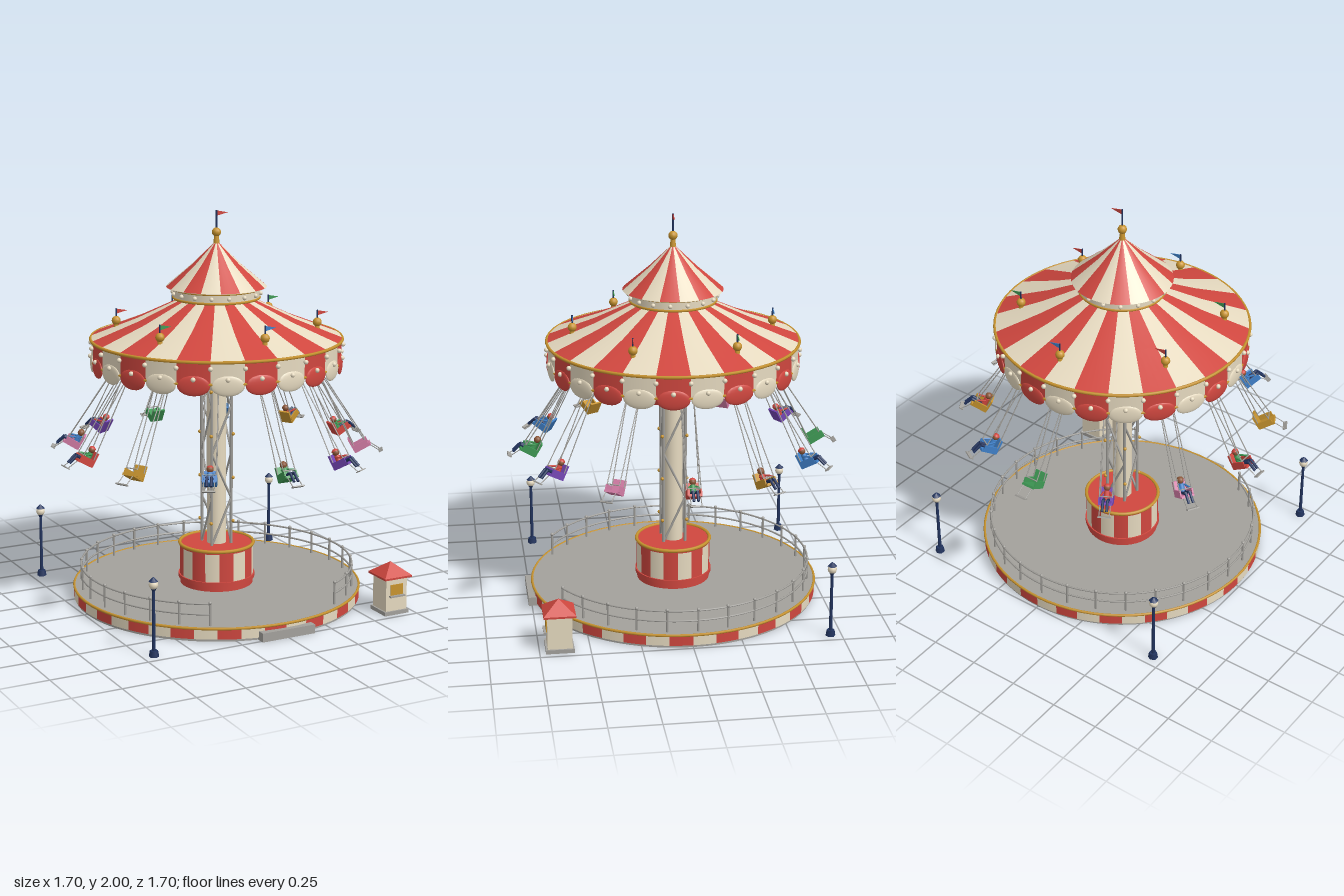
import * as THREE from 'three';
import { mergeGeometries } from 'three/addons/utils/BufferGeometryUtils.js';

const TAU = Math.PI * 2;

export function createModel() {
  const mat = (name, color, side = THREE.FrontSide) => {
    const m = new THREE.MeshStandardMaterial({ color, side });
    m.name = name;
    return m;
  };
  const red = mat('red', 0xd0473f), cream = mat('cream', 0xe6dac0), gold = mat('gold', 0xc8942f);
  const grey = mat('grey', 0xa3a19c), navy = mat('navy', 0x22345f), blue = mat('blue', 0x3f80c8);
  const green = mat('green', 0x3f9a55), purple = mat('purple', 0x7446b4), pink = mat('pink', 0xd77fa9);
  const brown = mat('brown', 0x8a5536);
  const root = new THREE.Group();

  const add = (parent, name, geo, material, x = 0, y = 0, z = 0) => {
    const m = new THREE.Mesh(geo, material);
    m.name = name;
    m.position.set(x, y, z);
    parent.add(m);
    return m;
  };
  const group = (parent, name) => {
    const g = new THREE.Group();
    g.name = name;
    parent.add(g);
    return g;
  };
  const cyl = (rt, rb, h, n = 12) => new THREE.CylinderGeometry(rt, rb, h, n);
  const box = (w, h, d) => new THREE.BoxGeometry(w, h, d);
  const ball = (r) => new THREE.SphereGeometry(r, 12, 8);
  const ring = (parent, name, r, y, t, material) =>
    add(parent, name, new THREE.TorusGeometry(r, t, 6, 72).rotateX(Math.PI / 2), material, 0, y);
  const v = (x, y, z) => new THREE.Vector3(x, y, z);
  // Round bar between two points
  const bar = (a, b, r, n = 6) => {
    const d = b.clone().sub(a);
    const q = new THREE.Quaternion().setFromUnitVectors(v(0, 1, 0), d.clone().normalize());
    const mid = a.clone().add(b).multiplyScalar(0.5);
    return cyl(r, r, d.length(), n).applyQuaternion(q).translate(mid.x, mid.y, mid.z);
  };
  // Point on a circle; angle 0 faces the front
  const polar = (r, a, y) => v(r * Math.sin(a), y, r * Math.cos(a));
  // Revolved profile (bottom to top) split into alternating cream and red panels
  const striped = (parent, name, profile, count) => {
    const pts = profile.map(([r, y]) => new THREE.Vector2(r, y));
    const sets = [[], []];
    for (let i = 0; i < count; i++)
      sets[i % 2].push(new THREE.LatheGeometry(pts, 4, (i / count) * TAU, TAU / count));
    add(parent, name + 'CreamPanels', mergeGeometries(sets[0]), cream);
    add(parent, name + 'RedPanels', mergeGeometries(sets[1]), red);
  };
  // Ring of small bulbs
  const bulbs = (parent, name, count, r, y, size, offset, material) => {
    const list = [];
    for (let i = 0; i < count; i++) {
      const p = polar(r, ((i + offset) / count) * TAU, y);
      list.push(ball(size).translate(p.x, p.y, p.z));
    }
    add(parent, name, mergeGeometries(list), material);
  };

  // Platform
  const platform = group(root, 'platform');
  add(platform, 'platformBase', cyl(0.735, 0.735, 0.068, 72), grey, 0, 0.034);
  striped(platform, 'platformSide', [[0.74, 0.012], [0.74, 0.062]], 40);
  ring(platform, 'platformTrim', 0.737, 0.065, 0.007, gold);
  add(platform, 'step', box(0.292, 0.045, 0.08), grey, 0, 0.0225, 0.727);

  // Railing, open at the front
  const railing = group(root, 'railing');
  const open = Math.PI / 6, posts = 24, span = TAU - 2 * open, rails = [];
  for (let i = 0; i <= posts; i++) {
    const a = open + (i / posts) * span;
    rails.push(bar(polar(0.7, a, 0.065), polar(0.7, a, 0.182), 0.006));
    const p = polar(0.7, a, 0.184);
    rails.push(ball(0.009).translate(p.x, p.y, p.z));
  }
  for (const y of [0.125, 0.178]) {
    const path = new THREE.CatmullRomCurve3(
      Array.from({ length: 49 }, (_, i) => polar(0.7, open + (i / 48) * span, y)));
    rails.push(new THREE.TubeGeometry(path, 96, 0.005, 6));
  }
  add(railing, 'rails', mergeGeometries(rails), grey);

  // Drum at the foot of the column
  const drum = group(root, 'drum');
  add(drum, 'drumCore', cyl(0.188, 0.188, 0.215, 48), red, 0, 0.1725);
  striped(drum, 'drumSide', [[0.19, 0.115], [0.19, 0.265]], 16);
  add(drum, 'drumFoot', cyl(0.197, 0.197, 0.02, 48), red, 0, 0.108);
  ring(drum, 'drumTrim', 0.19, 0.28, 0.009, gold);

  // Column with lattice frame
  const column = group(root, 'column');
  add(column, 'columnCore', cyl(0.05, 0.05, 1.0, 24), cream, 0, 0.77);
  const lattice = [], lamps = [], s = 0.056, y0 = 0.28, seg = 0.2425;
  for (let f = 0; f < 4; f++) {
    const turn = (f * Math.PI) / 2;
    lattice.push(bar(v(s, y0, s), v(s, 1.25, s), 0.008).rotateY(turn));
    for (let k = 0; k < 4; k++) {
      const d = k % 2 ? s : -s;
      lattice.push(bar(v(d, y0 + k * seg, s), v(-d, y0 + (k + 1) * seg, s), 0.006).rotateY(turn));
      lamps.push(ball(0.009).translate(s + 0.007, 0.4 + k * 0.23, s + 0.007).rotateY(turn));
    }
  }
  add(column, 'lattice', mergeGeometries(lattice), grey);
  add(column, 'columnBulbs', mergeGeometries(lamps), gold);

  // Main canopy with valance and scallops
  const canopy = group(root, 'canopy');
  striped(canopy, 'roof', [[0.642, 1.357], [0.4, 1.452], [0.16, 1.565]], 24);
  striped(canopy, 'valance', [[0.63, 1.245], [0.63, 1.357]], 24);
  add(canopy, 'ceiling', cyl(0.628, 0.628, 0.02, 72), cream, 0, 1.262);
  ring(canopy, 'upperTrim', 0.635, 1.356, 0.008, gold);
  ring(canopy, 'lowerTrim', 0.63, 1.248, 0.007, gold);
  const scallops = [[], []];
  for (let i = 0; i < 24; i++)
    scallops[i % 2].push(new THREE.SphereGeometry(1, 16, 10).scale(0.081, 0.05, 0.011)
      .translate(0, 1.24, 0.628).rotateY(((i + 0.5) / 24) * TAU));
  add(canopy, 'creamScallops', mergeGeometries(scallops[0]), cream);
  add(canopy, 'redScallops', mergeGeometries(scallops[1]), red);
  bulbs(canopy, 'upperBulbs', 24, 0.638, 1.325, 0.012, 0, cream);
  bulbs(canopy, 'lowerBulbs', 24, 0.638, 1.272, 0.012, 0.5, cream);

  // Upper collar and small cone
  const crown = group(root, 'crown');
  add(crown, 'collar', cyl(0.218, 0.218, 0.05, 48), cream, 0, 1.587);
  ring(crown, 'collarLowerTrim', 0.216, 1.563, 0.007, gold);
  ring(crown, 'collarUpperTrim', 0.216, 1.609, 0.006, gold);
  bulbs(crown, 'collarBulbs', 16, 0.222, 1.586, 0.011, 0.5, cream);
  striped(crown, 'cone', [[0.253, 1.618], [0.12, 1.732], [0.004, 1.845]], 16);
  add(crown, 'coneUnderside', cyl(0.25, 0.25, 0.004, 48), cream, 0, 1.617);

  // Finials with pennants
  const finial = (x, y, z, poleTop, flag, scale) => {
    const g = group(root, 'finial');
    g.position.set(x, y, z);
    add(g, 'finialBase', cyl(0.01, 0.016, 0.05), gold, 0, -0.03);
    add(g, 'finialBall', ball(0.023), gold);
    const h = poleTop - y;
    add(g, 'flagPole', cyl(0.004, 0.004, h, 6), navy, 0, h / 2);
    const shape = new THREE.Shape([new THREE.Vector2(0, 0), new THREE.Vector2(0, -0.026 * scale),
      new THREE.Vector2(0.062 * scale, -0.013 * scale)]);
    add(g, 'pennant', new THREE.ExtrudeGeometry(shape, { depth: 0.003, bevelEnabled: false }),
      flag, 0.002, h - 0.002, -0.0015);
  };
  finial(0, 1.89, 0, 2.0, red, 1);
  [blue, red, green, blue, red, green].forEach((flag, i) => {
    const p = polar(0.507, (i / 6) * TAU, 1.438);
    finial(p.x, p.y, p.z, 1.5, flag, 0.95);
  });

  // Swings, flung outwards; some seats are empty
  const seatColors = [green, purple, pink, red, gold, blue];
  const shirts = [green, red, blue];
  const empty = [2, 6, 10];
  for (let i = 0; i < 12; i++) {
    const arm = group(root, 'swing');
    arm.rotation.y = (i / 12) * TAU;
    const sw = group(arm, 'tiltedSwing');
    sw.position.set(0, 1.255, 0.478);
    sw.rotation.x = -Math.PI / 6;
    const color = seatColors[i % 6];
    const chains = [];
    for (const x of [-0.032, 0.032]) {
      chains.push(bar(v(x, 0, 0), v(x, -0.5, -0.034), 0.0028, 5));
      chains.push(bar(v(x, 0, 0), v(x, -0.5, 0.03), 0.0028, 5));
      chains.push(bar(v(x * 0.8, -0.53, 0.04), v(x * 0.8, -0.59, 0.072), 0.0025, 5));
      add(sw, 'armrest', box(0.007, 0.03, 0.075), color, x, -0.515, 0);
    }
    add(sw, 'chains', mergeGeometries(chains), grey);
    add(sw, 'seatPan', box(0.068, 0.012, 0.088), color, 0, -0.532, 0.002);
    add(sw, 'seatBack', box(0.068, 0.075, 0.01), color, 0, -0.498, -0.04);
    add(sw, 'footrest', box(0.062, 0.006, 0.022), grey, 0, -0.591, 0.074);
    add(sw, 'lapBar', bar(v(-0.032, -0.497, 0.03), v(0.032, -0.497, 0.03), 0.003), grey);
    if (empty.includes(i)) continue;
    // Rider
    const shirt = shirts[i % 3];
    add(sw, 'torso', cyl(0.013, 0.017, 0.05, 10), shirt, 0, -0.498, -0.016);
    add(sw, 'head', ball(0.017), brown, 0, -0.458, -0.014);
    add(sw, 'hair', new THREE.SphereGeometry(0.0185, 12, 6, 0, TAU, 0, 1.3),
      i % 2 ? red : brown, 0, -0.457, -0.015);
    for (const x of [-0.011, 0.011]) {
      add(sw, 'thigh', bar(v(x, -0.518, -0.01), v(x, -0.515, 0.052), 0.008, 8), navy);
      add(sw, 'shin', bar(v(x, -0.515, 0.052), v(x, -0.565, 0.068), 0.007, 8), navy);
      add(sw, 'riderArm', bar(v(x * 1.5, -0.482, -0.014), v(x * 2.4, -0.497, 0.028), 0.005, 6), shirt);
    }
  }

  // Ticket booth
  const booth = group(root, 'ticketBooth');
  booth.position.set(0.65, 0, 0.65);
  add(booth, 'boothBase', box(0.14, 0.02, 0.14), grey, 0, 0.01);
  add(booth, 'boothBody', box(0.122, 0.175, 0.122), cream, 0, 0.1075);
  add(booth, 'boothWindow', box(0.072, 0.055, 0.006), gold, 0, 0.13, 0.062);
  add(booth, 'boothCounter', box(0.085, 0.008, 0.02), grey, 0, 0.098, 0.068);
  add(booth, 'boothEave', box(0.158, 0.01, 0.158), red, 0, 0.194);
  const roof = new THREE.ConeGeometry(0.112, 0.062, 4).toNonIndexed().rotateY(Math.PI / 4);
  roof.computeVertexNormals();
  add(booth, 'boothRoof', roof, red, 0, 0.23);

  // Lamp posts
  for (const [x, z] of [[-0.694, 0.694], [-0.694, -0.694], [0.694, -0.694]]) {
    const lamp = group(root, 'lampPost');
    lamp.position.set(x, 0, z);
    add(lamp, 'lampBase', cyl(0.02, 0.025, 0.03, 6), navy, 0, 0.015);
    add(lamp, 'lampPole', cyl(0.007, 0.009, 0.32, 8), navy, 0, 0.18);
    add(lamp, 'lampCollar', cyl(0.014, 0.008, 0.012, 8), navy, 0, 0.332);
    add(lamp, 'lampGlobe', ball(0.023), cream, 0, 0.356);
    add(lamp, 'lampCap', cyl(0.004, 0.024, 0.02, 6), navy, 0, 0.382);
  }
  return root;
}
